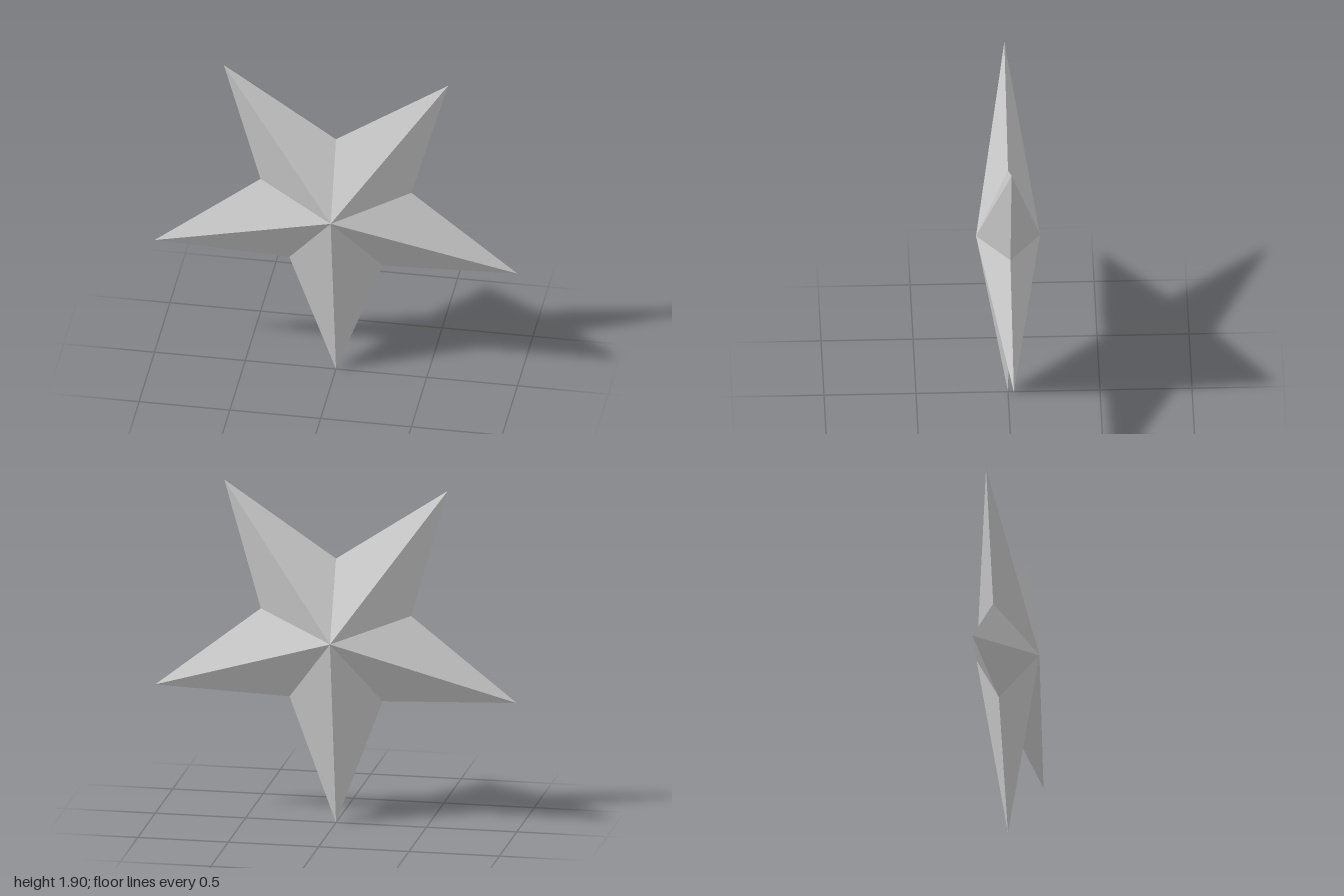
import * as THREE from 'three';

const POINTS = 5;
const OUTER = 1 / Math.cos(Math.PI / 10); // side tips land on x = -1 and x = 1
const INNER = 0.437;
const DEPTH = 0.174; // height of each central peak

// Rim of the star: tips and notches alternate, starting at the lowest tip
function rimPoint(i) {
  const angle = -Math.PI / 2 + (i * Math.PI) / POINTS;
  const r = i % 2 === 0 ? OUTER : INNER;
  return [r * Math.cos(angle), r * Math.sin(angle), 0];
}

// One faceted half: a fan from the peak to the sharp rim
function starHalf(side) {
  const positions = [];
  for (let i = 0; i < POINTS * 2; i++) {
    const a = rimPoint(i);
    const b = rimPoint((i + 1) % (POINTS * 2));
    const edge = side > 0 ? [a, b] : [b, a];
    positions.push(0, 0, side * DEPTH, ...edge[0], ...edge[1]);
  }
  const geometry = new THREE.BufferGeometry();
  geometry.setAttribute('position', new THREE.Float32BufferAttribute(positions, 3));
  geometry.computeVertexNormals();
  return geometry;
}

export function createModel() {
  const material = new THREE.MeshStandardMaterial({ color: 0xcccccc, flatShading: true });
  const star = new THREE.Group();
  star.name = 'star';
  for (const [name, side] of [['starFront', 1], ['starBack', -1]]) {
    const half = new THREE.Mesh(starHalf(side), material);
    half.name = name;
    half.position.y = OUTER; // lowest tip touches the ground
    star.add(half);
  }
  return star;
}
